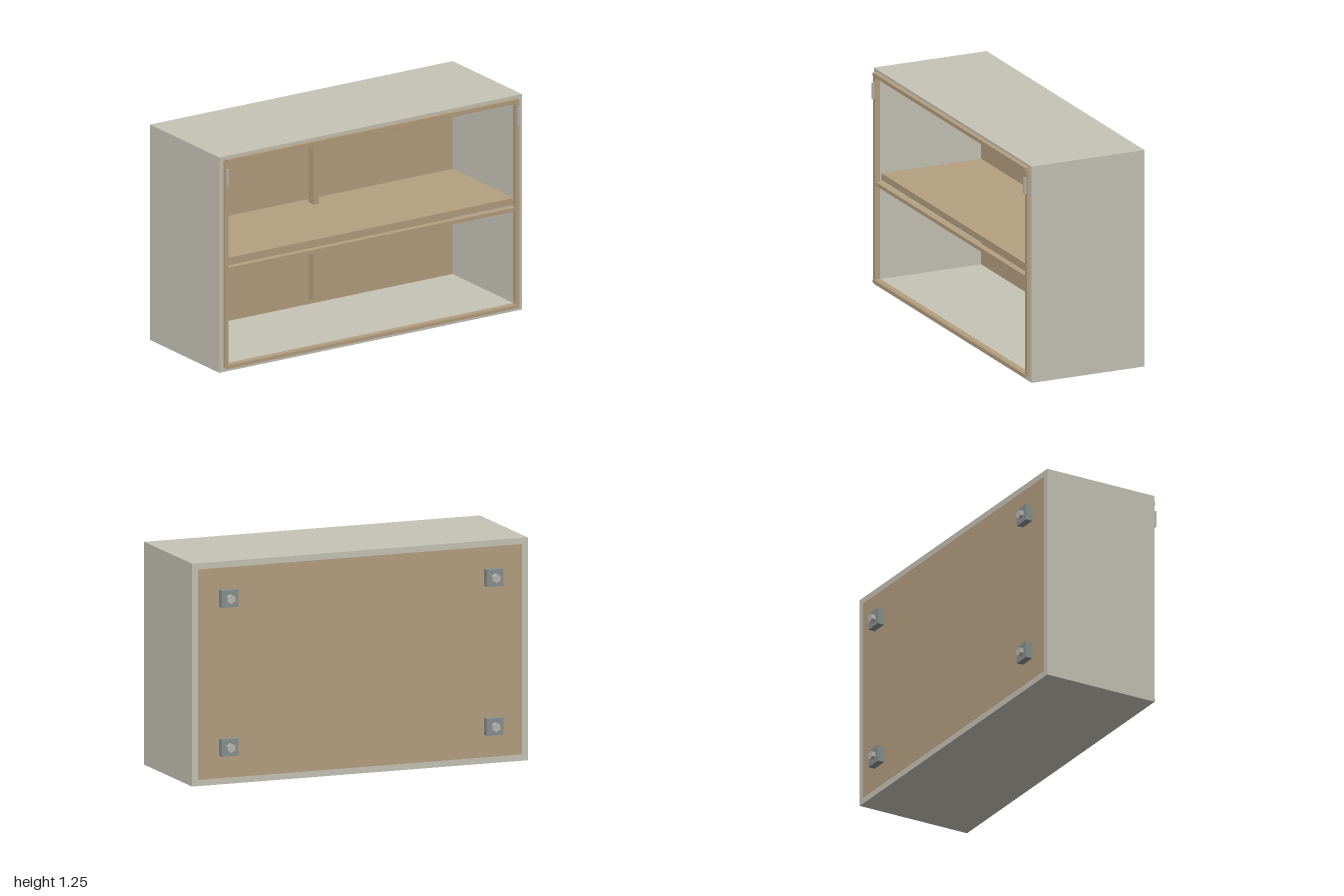
import * as THREE from 'three';

export function createModel() {
  const model = new THREE.Group();
  const mat = (name, color) => {
    const m = new THREE.MeshStandardMaterial({ color });
    m.name = name;
    return m;
  };
  const shell = mat('warm grey shell', 0xc6c3b6);
  const wood = mat('tan board', 0xb59f80);
  const mount = mat('blue grey mount', 0x87918f);
  const metal = mat('light metal', 0xb8b8b0);
  const steel = mat('slate strip', 0x6f7d88);

  // Box given by its minimum and maximum corners
  const block = (name, material, [x0, y0, z0], [x1, y1, z1], parent = model) => {
    const mesh = new THREE.Mesh(new THREE.BoxGeometry(x1 - x0, y1 - y0, z1 - z0), material);
    mesh.position.set((x0 + x1) / 2, (y0 + y1) / 2, (z0 + z1) / 2);
    mesh.name = name;
    parent.add(mesh);
    return mesh;
  };

  // Rectangular ring extruded along z, from half widths and heights
  const ring = (name, material, [w0, b0, t0], [w1, b1, t1], zBack, zFront) => {
    const rect = (P, w, b, t) => new P([
      new THREE.Vector2(-w, b), new THREE.Vector2(w, b),
      new THREE.Vector2(w, t), new THREE.Vector2(-w, t),
    ]);
    const shape = rect(THREE.Shape, w0, b0, t0);
    shape.holes.push(rect(THREE.Path, w1, b1, t1));
    const geo = new THREE.ExtrudeGeometry(shape, { depth: zFront - zBack, bevelEnabled: false });
    const mesh = new THREE.Mesh(geo, material);
    mesh.position.z = zBack;
    mesh.name = name;
    model.add(mesh);
  };

  // Cabinet body: open front, board let into the back
  ring('cabinetShell', shell, [1, 0, 1.25], [0.965, 0.035, 1.215], -0.33, 0.36);
  block('backPanel', wood, [-0.965, 0.035, -0.33], [0.965, 1.215, -0.28]);
  block('shelf', wood, [-0.965, 0.607, -0.28], [0.965, 0.645, 0.33]);

  // Front frame with raised lips and a cross rail
  ring('frontFrame', wood, [0.972, 0.028, 1.222], [0.95, 0.042, 1.208], 0.345, 0.377);
  block('topLip', wood, [-0.965, 1.215, 0.36], [0.965, 1.235, 0.384]);
  block('bottomLip', wood, [-0.965, 0.022, 0.36], [0.965, 0.04, 0.384]);
  block('crossRail', wood, [-0.95, 0.583, 0.335], [0.95, 0.604, 0.372]);
  block('headStrip', steel, [-0.95, 1.195, 0.33], [0.95, 1.207, 0.345]);

  // Uprights in front of the back board
  block('lowerUpright', wood, [-0.018, 0.085, -0.23], [0.018, 0.607, -0.18]);
  block('upperUpright', wood, [-0.018, 0.645, -0.23], [0.018, 1.17, -0.18]);

  for (const side of [-1, 1]) {
    // Small catches on the frame
    const c = side * 0.961;
    block('frameCatch', metal, [c - 0.007, 1.085, 0.372], [c + 0.007, 1.178, 0.39]);

    // Wall mounts with hex bolts
    for (const y of [0.21, 1.045]) {
      const group = new THREE.Group();
      group.name = 'wallMount';
      group.position.set(side * 0.79, y, -0.33);
      block('mountPad', mount, [-0.05, -0.048, -0.04], [0.05, 0.048, 0], group);
      const bolt = new THREE.Mesh(new THREE.CylinderGeometry(0.026, 0.026, 0.02, 6).toNonIndexed(), metal);
      bolt.geometry.computeVertexNormals();
      bolt.rotation.x = Math.PI / 2;
      bolt.position.z = -0.05;
      bolt.name = 'hexBolt';
      group.add(bolt);
      model.add(group);
    }
  }
  return model;
}
